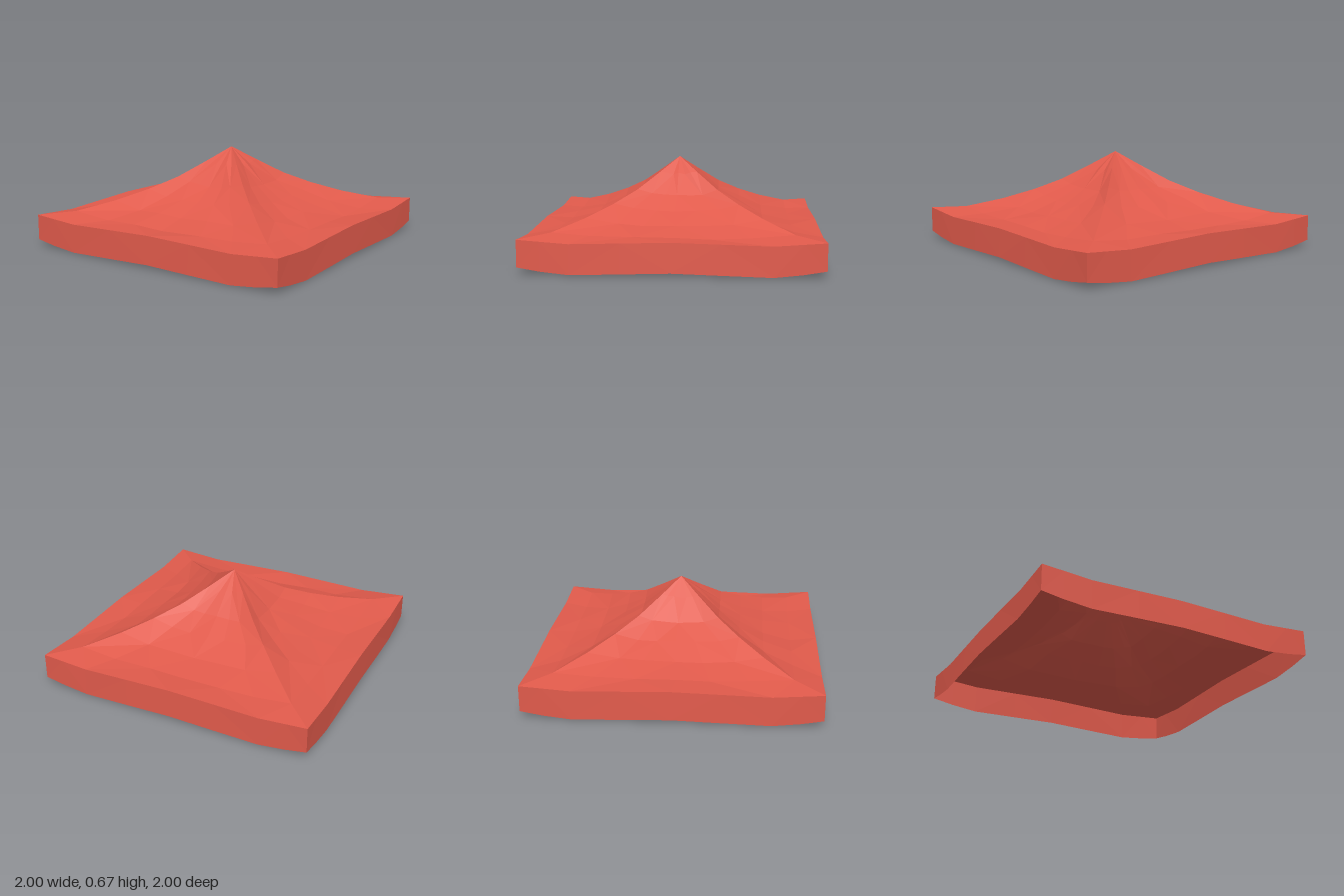
import * as THREE from 'three';

const HALF = 0.99;
const COLUMNS = [-1, -0.66, -0.33, 0, 0.33, 0.66, 1];
// Distance from the centre, ridge height, sag at the middle of a panel
const RINGS = [
  [0, 0.672, 0], [0.13, 0.572, 0.015], [0.28, 0.462, 0.04], [0.43, 0.38, 0.045],
  [0.6, 0.306, 0.05], [0.8, 0.24, 0.03], [HALF, 0.225, 0],
];

// Piecewise linear lookup, symmetric in u
function lookup(points, u) {
  const a = Math.abs(u);
  for (let i = 1; i < points.length; i++) {
    const [u0, v0] = points[i - 1], [u1, v1] = points[i];
    if (a <= u1) return v0 + (v1 - v0) * (a - u0) / (u1 - u0);
  }
  return points[points.length - 1][1];
}
const eaveHeight = (u) => lookup([[0, 0.217], [0.66, 0.2], [1, 0.225]], u);
const hemHeight = (u) => lookup([[0, 0.02], [0.33, 0.01], [0.66, 0], [0.85, 0.02], [1, 0.045]], u);

function seeded(seed) {
  return () => {
    seed = (seed * 16807) % 2147483647;
    return seed / 2147483647 - 0.5;
  };
}

// Faceted sheet from rows of points; alternate diagonals give a crumpled look
function sheet(rows) {
  const positions = [];
  const tri = (...corners) => corners.forEach((p) => positions.push(...p));
  for (let i = 0; i + 1 < rows.length; i++) {
    for (let j = 0; j + 1 < rows[i].length; j++) {
      const a = rows[i][j], b = rows[i + 1][j], c = rows[i + 1][j + 1], d = rows[i][j + 1];
      if (a[0] === d[0] && a[2] === d[2]) tri(a, b, c);
      else if ((i + j) % 2) { tri(a, b, c); tri(a, c, d); }
      else { tri(a, b, d); tri(b, c, d); }
    }
  }
  const geometry = new THREE.BufferGeometry();
  geometry.setAttribute('position', new THREE.Float32BufferAttribute(positions, 3));
  geometry.computeVertexNormals();
  return geometry;
}

// Sagging cloth panel between two ridges
function roofPanel(seed) {
  const rnd = seeded(seed);
  return sheet(RINGS.map(([s, ridge, sag], i) => COLUMNS.map((u) => {
    if (i === RINGS.length - 1) return [u * s, eaveHeight(u), s];
    const loose = i > 0 && Math.abs(u) < 1 ? 1 : 0;
    const dx = rnd() * 0.08 * s * loose;
    const dy = rnd() * 0.014 * loose;
    return [u * s + dx, ridge - sag * (1 - u ** 4) + dy, s];
  })));
}

// Hanging border with a wavy hem, bulging slightly outward
function valance() {
  const columns = [-1, -0.85, -0.66, -0.33, 0, 0.33, 0.66, 0.85, 1];
  return sheet([
    columns.map((u) => [u * HALF, eaveHeight(u), HALF]),
    columns.map((u) => [u * HALF, hemHeight(u), HALF + 0.01 * (1 - u * u)]),
  ]);
}

export function createModel() {
  const model = new THREE.Group();
  model.name = 'canopy';
  const redCloth = new THREE.MeshStandardMaterial({ color: 0xe05a4b });
  redCloth.name = 'red cloth';
  redCloth.flatShading = true;
  redCloth.side = THREE.DoubleSide;

  ['front', 'left', 'back', 'right'].forEach((side, k) => {
    const group = new THREE.Group();
    group.name = side + 'Side';
    group.rotation.y = k * Math.PI / 2;
    const panel = new THREE.Mesh(roofPanel(101 + k * 7919), redCloth);
    panel.name = side + 'RoofPanel';
    const border = new THREE.Mesh(valance(), redCloth);
    border.name = side + 'Valance';
    group.add(panel, border);
    model.add(group);
  });
  return model;
}
